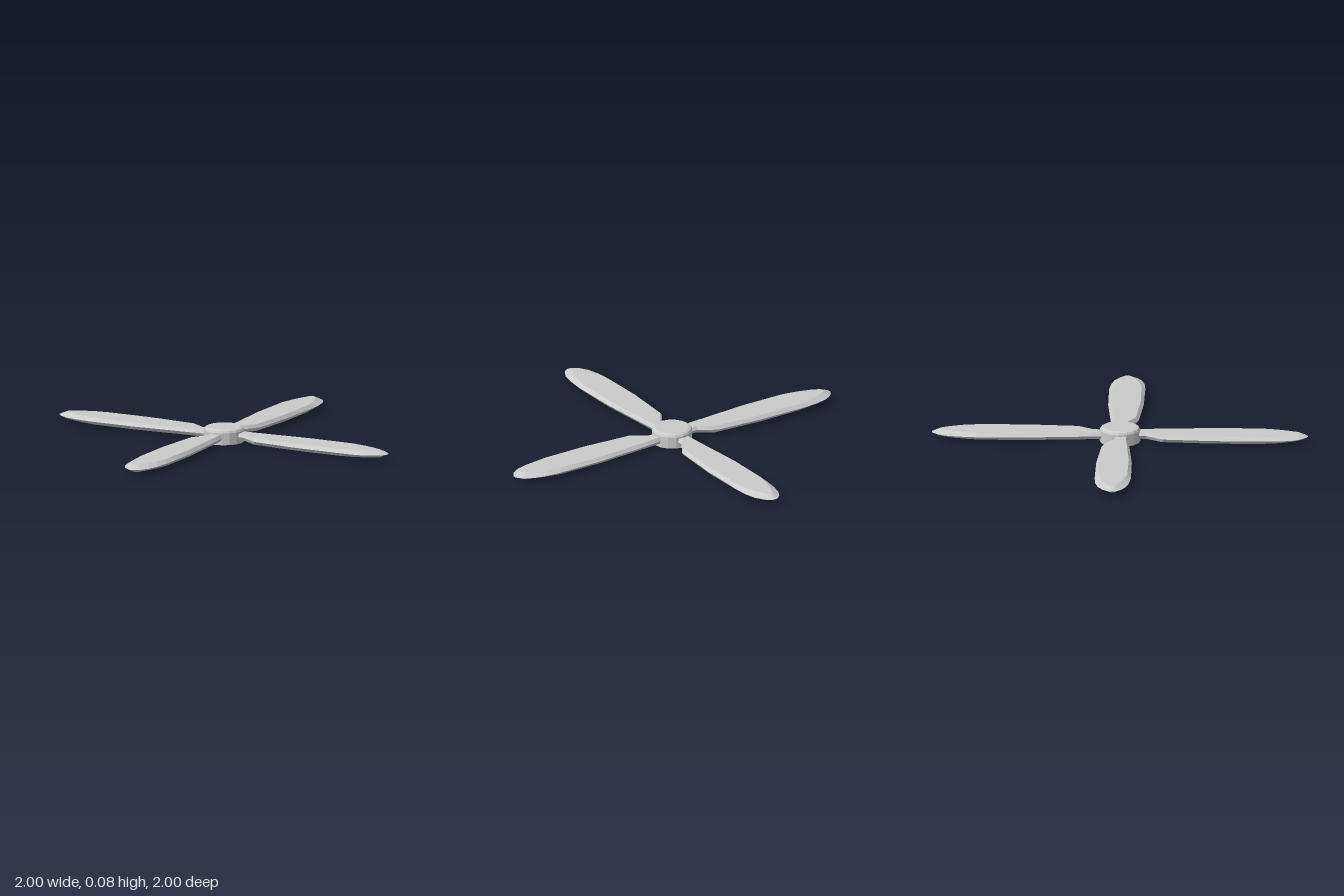
import * as THREE from 'three';

const material = new THREE.MeshStandardMaterial({ color: 0xcccccc, flatShading: true, side: THREE.DoubleSide });

// Blade stations from root to tip: [edge x, trailing z, leading z, face x, bevel width]
const stations = [
  [0.08, -0.042, 0.03, 0.08, 0.01],
  [0.14, -0.05, 0.032, 0.14, 0.012],
  [0.235, -0.06, 0.09, 0.225, 0.016],
  [0.5, -0.083, 0.106, 0.5, 0.016],
  [0.77, -0.089, 0.104, 0.75, 0.02],
  [0.86, -0.081, 0.098, 0.83, 0.026],
  [0.925, -0.067, 0.081, 0.885, 0.028],
  [0.97, -0.044, 0.054, 0.93, 0.022],
  [0.99, -0.024, 0.03, 0.95, 0.01],
  [1.0, -0.008, 0.01, 0.957, 0.003],
];

// Hexagonal cross-sections lofted along the blade, closed at both ends
function bladeGeometry() {
  const top = 0.056, mid = 0.038, bottom = 0.019;
  const positions = [], index = [];
  for (const [x, lo, hi, fx, bevel] of stations) {
    positions.push(
      x, mid, lo, fx, top, lo + bevel, fx, top, hi - bevel,
      x, mid, hi, fx, bottom, hi - bevel, fx, bottom, lo + bevel);
  }
  for (let s = 0; s < stations.length - 1; s++) {
    for (let i = 0; i < 6; i++) {
      const a = s * 6 + i, b = s * 6 + (i + 1) % 6;
      index.push(a, b, b + 6, a, b + 6, a + 6);
    }
  }
  const e = (stations.length - 1) * 6;
  for (const [a, b, c] of [[0, 1, 2], [0, 2, 3], [0, 3, 4], [0, 4, 5]]) {
    index.push(a, c, b, e + a, e + b, e + c);
  }
  const geometry = new THREE.BufferGeometry();
  geometry.setAttribute('position', new THREE.Float32BufferAttribute(positions, 3));
  geometry.setIndex(index);
  geometry.computeVertexNormals();
  return geometry;
}

export function createModel() {
  const model = new THREE.Group();
  model.name = 'propeller';

  // Round hub with a bevelled top rim
  const profile = [[0, 0], [0.108, 0], [0.108, 0.064], [0.102, 0.075], [0.09, 0.081], [0, 0.081]]
    .map(([r, y]) => new THREE.Vector2(r, y));
  const hub = new THREE.Mesh(new THREE.LatheGeometry(profile, 16), material);
  hub.name = 'hub';
  model.add(hub);

  // Four identical blades around the hub
  const geometry = bladeGeometry();
  for (let i = 0; i < 4; i++) {
    const blade = new THREE.Mesh(geometry, material);
    blade.name = 'blade' + (i + 1);
    blade.rotation.y = i * Math.PI / 2;
    model.add(blade);
  }
  return model;
}
